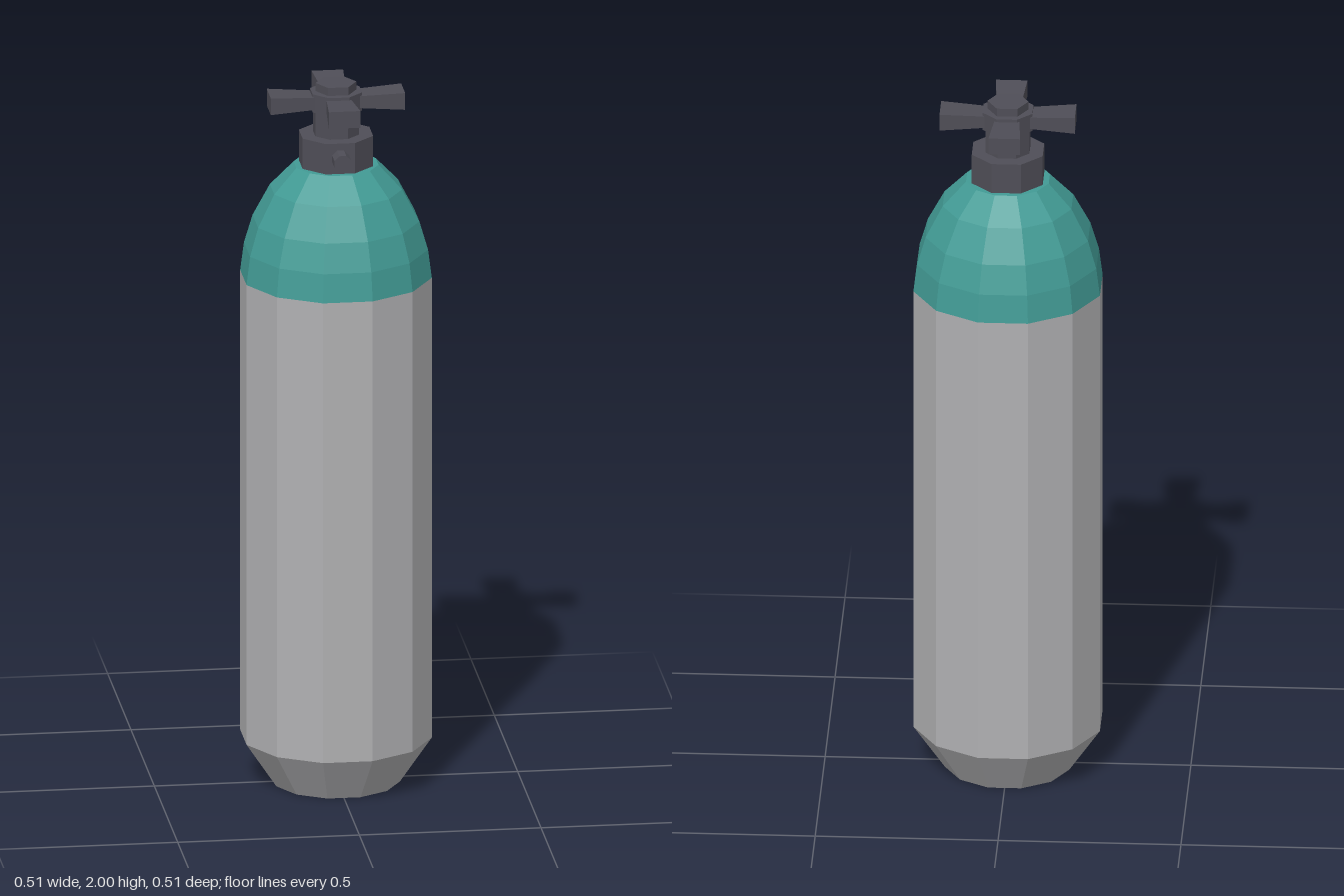
import * as THREE from 'three';

export function createModel() {
  const model = new THREE.Group();
  model.name = 'gasCylinder';

  const material = (name, color) => {
    const m = new THREE.MeshStandardMaterial({ color, flatShading: true });
    m.name = name;
    return m;
  };
  const steel = material('steelGrey', 0xb0b0b2);
  const teal = material('shoulderTeal', 0x429b95);
  const dark = material('valveDark', 0x4f4e57);

  const add = (name, geometry, mat, parent = model) => {
    const mesh = new THREE.Mesh(geometry, mat);
    mesh.name = name;
    parent.add(mesh);
    return mesh;
  };

  // Faceted solid of revolution with flat sides facing the axes;
  // profile points are [distance to flat side, height]
  const faceted = (profile, sides) => {
    const k = 1 / Math.cos(Math.PI / sides);
    const points = profile.map(([r, y]) => new THREE.Vector2(r * k, y));
    return new THREE.LatheGeometry(points, sides, Math.PI / sides);
  };

  // Tank body with chamfered foot, and domed shoulder
  add('tankBody', faceted([[0, 0], [0.17, 0], [0.255, 0.13], [0.255, 1.45]], 12), steel);
  add('shoulder', faceted([[0.255, 1.45], [0.245, 1.53], [0.222, 1.61],
    [0.176, 1.70], [0.113, 1.768], [0, 1.768]], 12), teal);

  // Valve: collar, stem and handwheel hub
  const valve = new THREE.Group();
  valve.name = 'valve';
  model.add(valve);
  const prism = (name, r, y0, y1) =>
    add(name, faceted([[0, y0], [r, y0], [r, y1], [0, y1]], 8), dark, valve);
  prism('valveCollar', 0.097, 1.765, 1.855);
  prism('valveStem', 0.06, 1.85, 1.93);
  prism('handleHub', 0.068, 1.925, 1.977);

  // Hexagonal nut on top
  const nut = add('topNut', new THREE.CylinderGeometry(0.056, 0.056, 0.03, 6), dark, valve);
  nut.position.y = 1.985;
  nut.rotation.y = Math.PI / 6;

  // Four handle arms, flaring outwards
  for (let i = 0; i < 4; i++) {
    const arm = new THREE.BoxGeometry(0.125, 1, 1);
    const p = arm.attributes.position;
    for (let v = 0; v < p.count; v++) {
      const outer = p.getX(v) > 0;
      p.setXYZ(v, p.getX(v) + 0.1225, p.getY(v) * (outer ? 0.048 : 0.034),
        p.getZ(v) * (outer ? 0.087 : 0.068));
    }
    arm.computeVertexNormals();
    const mesh = add('handleArm', arm, dark, valve);
    mesh.position.y = 1.951;
    mesh.rotation.y = i * Math.PI / 2;
  }

  // Gas outlet on the front of the collar
  const outlet = add('outlet', new THREE.CylinderGeometry(0.025, 0.025, 0.06, 8), dark, valve);
  outlet.rotation.set(Math.PI / 2, Math.PI / 8, 0);
  outlet.position.set(0, 1.812, 0.117);

  return model;
}
